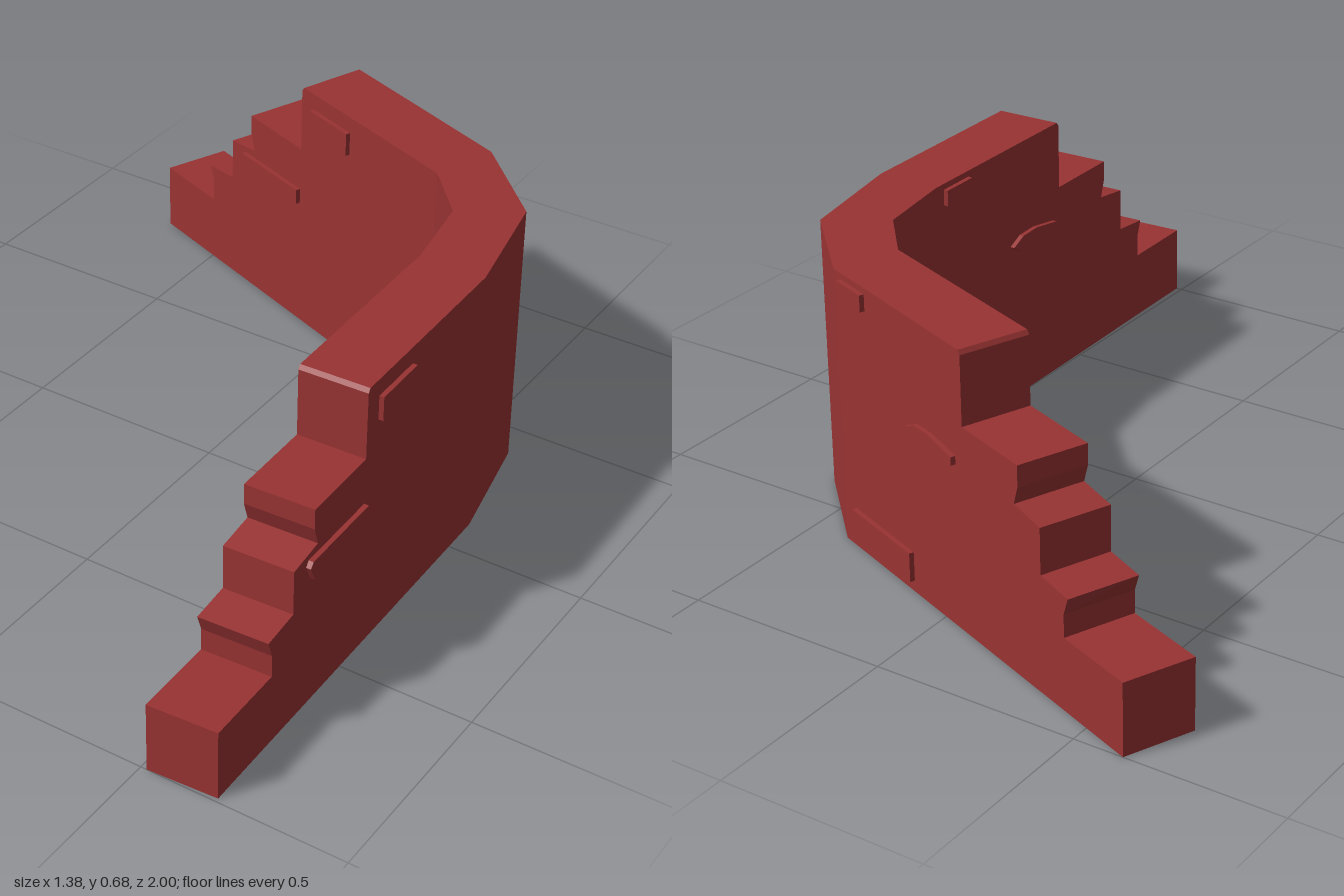
import * as THREE from 'three';

const HEIGHT = 0.675;
const LENGTH = 1.1;

// Stepped, broken end of a wall arm: distance from the free end, height
const ARM = [[0, 0], [LENGTH, 0], [LENGTH, HEIGHT], [0.587, HEIGHT], [0.58, 0.665], [0.58, 0.5],
  [0.37, 0.5], [0.37, 0.45], [0.385, 0.405], [0.29, 0.392], [0.29, 0.282], [0.192, 0.272],
  [0.207, 0.23], [0.207, 0.175], [0, 0.175]];

const rect = (u0, u1, y0, y1) => [[u0, y0], [u1, y0], [u1, y1], [u0, y1]];

// Raised stones on the two faces of each arm
const NEAR_STONES = [
  rect(0.627, 0.772, 0.573, 0.633),
  [[0.338, 0.372], [0.355, 0.335], [0.37, 0.323], [0.472, 0.323], [0.579, 0.345], [0.579, 0.385], [0.348, 0.385]],
];
const FAR_STONES = [
  rect(0.8, 1.05, 0.028, 0.1),
  rect(0.97, 1.07, 0.62, 0.66),
  [[0.61, 0.4], [0.7, 0.387], [0.77, 0.395], [0.8, 0.415], [0.76, 0.433], [0.7, 0.435], [0.61, 0.42]],
];

// Plan corners as [x, z]: each arm has a far side and a near side, from free end to bend
const LEFT_ARM = { far: [[-0.62, -1], [0.4, -0.6]], near: [[-0.69, -0.84], [0.345, -0.44]] };
const RIGHT_ARM = { far: [[0.515, 1], [0.495, -0.1]], near: [[0.685, 0.99], [0.66, -0.1]] };
const BEND = [[0.4, -0.6], [0.345, -0.44], [0.46, -0.31], [0.495, -0.1], [0.66, -0.1], [0.6, -0.4]];

const toShape = (pts) => new THREE.Shape(pts.map(([x, y]) => new THREE.Vector2(x, y)));

export function createModel() {
  const group = new THREE.Group();
  const material = new THREE.MeshStandardMaterial({ color: 0x993333, flatShading: true });

  const add = (name, geometry, parent) => {
    geometry.computeVertexNormals();
    const mesh = new THREE.Mesh(geometry, material);
    mesh.name = name;
    parent.add(mesh);
  };

  // Extrude an outline through the wall from depth d0 (far = 0) to d1 (near = 1), then lay it along the arm
  const slab = (outline, arm, d0, d1) => {
    const geometry = new THREE.ExtrudeGeometry(toShape(outline), { depth: d1 - d0, bevelEnabled: false });
    const pos = geometry.attributes.position;
    const mix = THREE.MathUtils.lerp;
    for (let i = 0; i < pos.count; i++) {
      const t = pos.getX(i) / LENGTH;
      const d = pos.getZ(i) + d0;
      const [x, z] = [0, 1].map((k) => mix(
        mix(arm.far[0][k], arm.far[1][k], t), mix(arm.near[0][k], arm.near[1][k], t), d));
      pos.setXYZ(i, x, pos.getY(i), z);
    }
    return geometry;
  };

  for (const [name, arm] of [['leftArm', LEFT_ARM], ['rightArm', RIGHT_ARM]]) {
    const part = new THREE.Group();
    part.name = name;
    add('steppedWall', slab(ARM, arm, 0, 1), part);
    NEAR_STONES.forEach((s) => add('raisedStone', slab(s, arm, 0.95, 1.07), part));
    FAR_STONES.forEach((s) => add('raisedStone', slab(s, arm, -0.07, 0.05), part));
    group.add(part);
  }

  // Full-height bend joining the arms
  const bend = new THREE.ExtrudeGeometry(toShape(BEND.map(([x, z]) => [x, -z])), { depth: HEIGHT, bevelEnabled: false });
  bend.rotateX(-Math.PI / 2);
  add('wallBend', bend, group);

  return group;
}
